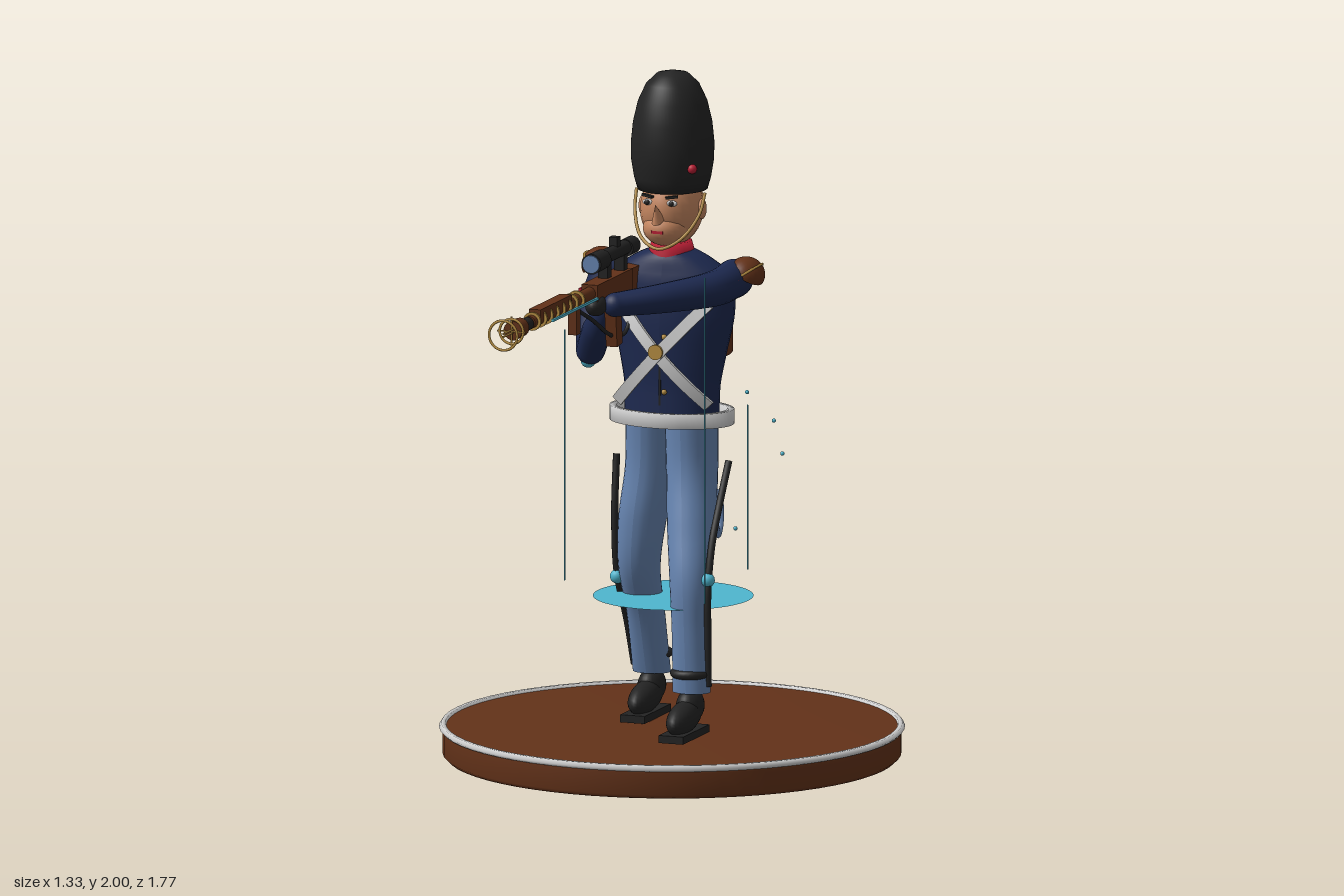
import * as THREE from 'three';
import { RoundedBoxGeometry } from 'three/addons/geometries/RoundedBoxGeometry.js';

const mat = (name, color, side = THREE.FrontSide) => Object.assign(new THREE.MeshStandardMaterial({ color, side }), { name });
const M = {
  navy: mat('navy coat', 0x1d294f), blue: mat('blue trousers', 0x6684b0), black: mat('black', 0x232323),
  brown: mat('brown', 0x633219, THREE.DoubleSide), white: mat('white', 0xd2d2d2), gold: mat('gold', 0xb58d42),
  skin: mat('skin', 0xc48660), red: mat('red', 0xb81f35), cyan: mat('cyan', 0x4fb6cf, THREE.DoubleSide),
};
const V = (p) => new THREE.Vector3(...p);
const curveOf = (pts) => new THREE.CatmullRomCurve3(pts.map(V));

export function createModel() {
  const model = new THREE.Group();
  const add = (name, geo, m, pos = [0, 0, 0], rot = [0, 0, 0], scale = [1, 1, 1], parent = model) => {
    const mesh = new THREE.Mesh(geo, m);
    mesh.name = name;
    mesh.position.set(...pos);
    mesh.rotation.set(...rot);
    mesh.scale.set(...scale);
    parent.add(mesh);
    return mesh;
  };
  const ball = (name, m, pos, r, rot) => add(name, new THREE.SphereGeometry(1, 24, 16), m, pos, rot, Array.isArray(r) ? r : [r, r, r]);
  const box = (name, m, pos, size, rot) => add(name, new THREE.BoxGeometry(...size), m, pos, rot);
  const tube = (name, m, pts, r, closed = false) =>
    add(name, new THREE.TubeGeometry(new THREE.CatmullRomCurve3(pts.map(V), closed), 32, r, 8, closed), m);
  const lathe = (name, m, pts, pos, scale) =>
    add(name, new THREE.LatheGeometry(pts.map((p) => new THREE.Vector2(...p)), 64), m, pos, [0, 0, 0], scale);

  // Body sections from top to bottom: [y, centre x, centre z, radius x, radius z]
  const loft = (name, m, rows) => {
    const centre = curveOf(rows.map(([y, x, z]) => [x, y, z]));
    const size = curveOf(rows.map(([, , , rx, rz]) => [rx, 0, rz]));
    const geo = new THREE.CylinderGeometry(1, 1, 1, 28, 28);
    const p = geo.attributes.position;
    for (let i = 0; i < p.count; i++) {
      const t = THREE.MathUtils.clamp(0.5 - p.getY(i), 0, 1);
      const c = centre.getPoint(t), s = size.getPoint(t);
      p.setXYZ(i, c.x + p.getX(i) * s.x, c.y, c.z + p.getZ(i) * s.z);
    }
    geo.computeVertexNormals();
    return add(name, geo, m);
  };
  // Tapered limb with rounded ends
  const limb = (name, m, pts, radii) => {
    const c = curveOf(pts), n = 24, sides = 16;
    const geo = new THREE.TubeGeometry(c, n, 1, sides);
    const p = geo.attributes.position, v = new THREE.Vector3();
    for (let i = 0; i < p.count; i++) {
      const t = Math.floor(i / (sides + 1)) / n, f = t * (radii.length - 1), k = Math.min(Math.floor(f), radii.length - 2);
      const r = THREE.MathUtils.lerp(radii[k], radii[k + 1], f - k), o = c.getPointAt(t);
      v.fromBufferAttribute(p, i).sub(o).multiplyScalar(r).add(o);
      p.setXYZ(i, v.x, v.y, v.z);
    }
    geo.computeVertexNormals();
    add(name, geo, m);
    ball(name + 'Start', m, pts[0], radii[0]);
    ball(name + 'End', m, pts[pts.length - 1], radii[radii.length - 1]);
  };

  // Round base with a pale rim
  lathe('base', M.brown, [[0, 0], [0.645, 0], [0.657, 0.012], [0.657, 0.075], [0.655, 0.09], [0, 0.092]], [0, 0, -0.21]);
  lathe('baseRim', M.white, [[0.645, 0.085], [0.66, 0.08], [0.667, 0.088], [0.66, 0.098], [0.648, 0.098], [0.645, 0.085]], [0, 0, -0.21]);

  // Trousers
  loft('leftLeg', M.blue, [[1.01, 0.06, -0.21, 0.075, 0.095], [0.85, 0.066, -0.2, 0.072, 0.09], [0.7, 0.085, -0.145, 0.069, 0.08],
    [0.55, 0.105, -0.085, 0.06, 0.065], [0.4, 0.11, -0.075, 0.055, 0.055], [0.22, 0.112, -0.075, 0.056, 0.045]]);
  loft('rightLeg', M.blue, [[1.01, -0.06, -0.21, 0.075, 0.095], [0.85, -0.066, -0.215, 0.072, 0.09], [0.7, -0.085, -0.2, 0.069, 0.078],
    [0.55, -0.1, -0.21, 0.06, 0.065], [0.4, -0.105, -0.275, 0.055, 0.055], [0.22, -0.108, -0.33, 0.056, 0.045]]);
  add('thighLoop', new THREE.TorusGeometry(0.035, 0.01, 8, 20), M.blue, [0.13, 0.71, -0.24], [0, Math.PI / 2, 0], [0.6, 1.6, 1]);

  // Shoes, soles, ankle rings and leg braces
  for (const [side, x, z] of [['left', 0.11, -0.02], ['right', -0.106, -0.275]]) {
    ball(side + 'Shoe', M.black, [x, 0.155, z], [0.04, 0.045, 0.1], [0.15, 0, 0]);
    ball(side + 'Heel', M.black, [x, 0.18, z - 0.05], [0.039, 0.05, 0.055]);
    box(side + 'Sole', M.black, [x, 0.107, z], [0.075, 0.022, 0.21]);
    add(side + 'AnkleRing', new THREE.TorusGeometry(0.047, 0.013, 10, 28), M.black, [x, 0.275, z - 0.055], [Math.PI / 2, 0, 0]);
  }
  tube('leftBrace', M.black, [[0.172, 0.87, -0.215], [0.168, 0.76, -0.155], [0.167, 0.65, -0.095], [0.168, 0.52, -0.06], [0.168, 0.38, -0.06], [0.165, 0.24, -0.07]], 0.011);
  tube('rightBrace', M.black, [[-0.172, 0.87, -0.215], [-0.168, 0.7, -0.19], [-0.165, 0.53, -0.2], [-0.164, 0.38, -0.275], [-0.16, 0.24, -0.325]], 0.011);
  ball('leftKneeLight', M.cyan, [0.165, 0.55, -0.065], 0.021);
  ball('rightKneeLight', M.cyan, [-0.164, 0.515, -0.2], 0.021);

  // Coat
  loft('torso', M.navy, [[1.485, 0, -0.21, 0.055, 0.055], [1.46, 0, -0.212, 0.11, 0.075], [1.4, 0, -0.218, 0.185, 0.098],
    [1.3, 0, -0.22, 0.185, 0.11], [1.18, 0, -0.218, 0.16, 0.108], [1.08, 0, -0.213, 0.142, 0.1], [0.99, 0, -0.21, 0.14, 0.1]]);
  lathe('collar', M.red, [[0.068, 1.455], [0.066, 1.475], [0.058, 1.505], [0, 1.505]], [0, 0, -0.208]);
  box('coatSeam', M.black, [0, 1.12, -0.113], [0.006, 0.16, 0.008]);
  for (let i = 0; i < 4; i++) ball('button', M.gold, [0.015, 1.08 + i * 0.08, -0.108], 0.008);

  // Belt stands off the waist as a hoop
  lathe('belt', M.white, [[0.164, 0.977], [0.185, 0.977], [0.185, 1.02], [0.164, 1.02], [0.164, 0.977]], [0, 0, -0.21], [1, 1, 0.68]);

  // Crossed chest straps, bowed over the chest
  for (const s of [1, -1]) {
    const geo = new THREE.BoxGeometry(0.41, 0.034, 0.012, 16, 1, 1), p = geo.attributes.position;
    for (let i = 0; i < p.count; i++) p.setZ(i, p.getZ(i) - 1.2 * p.getX(i) ** 2);
    geo.computeVertexNormals();
    add('chestStrap', geo, M.white, [0, 1.19, -0.09 + s * 0.003], [0, 0, s * 0.82]);
  }
  add('strapBuckle', new THREE.CylinderGeometry(0.022, 0.022, 0.008, 20), M.gold, [0, 1.2, -0.078], [Math.PI / 2, 0, 0]);

  // Arms holding the rifle
  limb('leftArm', M.navy, [[0.19, 1.405, -0.21], [0.175, 1.395, -0.1], [0.08, 1.385, 0.03], [-0.04, 1.375, 0.14]], [0.056, 0.05, 0.043, 0.035]);
  limb('rightUpperArm', M.navy, [[-0.19, 1.395, -0.21], [-0.222, 1.29, -0.175], [-0.215, 1.185, -0.12]], [0.058, 0.05, 0.042]);
  limb('rightForearm', M.navy, [[-0.215, 1.185, -0.12], [-0.17, 1.26, -0.06], [-0.115, 1.34, -0.01]], [0.042, 0.044, 0.034]);
  ball('leftHand', M.black, [-0.085, 1.375, 0.17], [0.03, 0.03, 0.045]);
  ball('rightHand', M.skin, [-0.105, 1.345, 0.0], 0.03);
  ball('elbowLight', M.cyan, [-0.222, 1.155, -0.12], 0.022);
  box('leftArmBadge', M.red, [0.226, 1.4, -0.155], [0.016, 0.035, 0.045]);
  box('rightArmBadge', M.red, [-0.262, 1.335, -0.19], [0.016, 0.035, 0.045]);

  // Epaulettes
  for (const s of [1, -1]) {
    add('epaulette', new THREE.SphereGeometry(0.055, 24, 10, 0, Math.PI * 2, 0, Math.PI / 2), M.brown, [s * 0.226, 1.42, -0.22], [0, 0, -s * 0.6], [0.95, 0.85, 1.15]);
    add('epauletteEdge', new THREE.TorusGeometry(0.053, 0.004, 6, 28), M.gold, [s * 0.226, 1.42, -0.22], [Math.PI / 2, s * 0.6, 0], [0.95, 1.15, 1]);
    ball('shoulderLight', M.cyan, [s * 0.2, 1.42, -0.262], 0.02);
  }

  // Head
  ball('head', M.skin, [0, 1.6, -0.21], [0.089, 0.11, 0.11]);
  ball('jaw', M.skin, [0, 1.55, -0.165], [0.066, 0.053, 0.076]);
  ball('backOfHead', M.skin, [0, 1.6, -0.235], [0.086, 0.09, 0.092]);
  add('nose', new THREE.ConeGeometry(0.017, 0.055, 12), M.skin, [0, 1.605, -0.088], [0.4, 0, 0], [1, 1, 1.6]);
  box('mouth', M.red, [0, 1.547, -0.093], [0.036, 0.008, 0.008]);
  for (const s of [1, -1]) {
    ball('ear', M.skin, [s * 0.09, 1.6, -0.215], [0.012, 0.03, 0.022]);
    ball('eyeWhite', M.white, [s * 0.037, 1.63, -0.113], [0.016, 0.009, 0.008]);
    ball('pupil', M.black, [s * 0.037, 1.63, -0.106], [0.008, 0.008, 0.005]);
    box('eyebrow', M.black, [s * 0.037, 1.648, -0.112], [0.036, 0.007, 0.012], [0, s * 0.3, s * 0.12]);
  }
  tube('chinStrap', M.gold, [[0.105, 1.65, -0.2], [0.098, 1.59, -0.17], [0.06, 1.525, -0.12], [0, 1.497, -0.1], [-0.06, 1.525, -0.12], [-0.098, 1.59, -0.17], [-0.105, 1.65, -0.2]], 0.005);

  // Tall fur hat
  lathe('furHat', M.black, [[0, 1.655], [0.1, 1.655], [0.11, 1.69], [0.118, 1.74], [0.119, 1.79], [0.113, 1.85], [0.099, 1.91], [0.076, 1.96], [0.045, 1.99], [0, 2]], [0, 0, -0.215], [1, 1, 1.04]);
  ball('hatBadge', M.red, [0.09, 1.73, -0.137], 0.014);

  // Backpack with aerial
  add('backpack', new RoundedBoxGeometry(0.22, 0.24, 0.11, 3, 0.018), M.brown, [0, 1.26, -0.37]);
  add('backpackFlap', new RoundedBoxGeometry(0.226, 0.07, 0.12, 3, 0.015), M.brown, [0, 1.345, -0.371]);
  tube('backpackTrim', M.gold, [-4, -3, -2, -1, 0, 1, 2, 3, 4].map((i) => [i * 0.022, 1.285 + (i % 2 ? 0.005 : -0.005), -0.427]), 0.004);
  box('aerial', M.black, [-0.07, 1.5, -0.4], [0.006, 0.4, 0.006]);
  ball('lowerBackLight', M.cyan, [0.01, 1.07, -0.32], 0.02);
  box('lowerBackRod', M.black, [0.01, 1.1, -0.325], [0.018, 0.12, 0.014]);

  // Rifle, pointing forwards along z
  const gx = -0.095, gy = 1.415;
  const rod = (name, m, z0, z1, r, y = gy, r1 = r) =>
    add(name, new THREE.CylinderGeometry(r1, r, z1 - z0, 18), m, [gx, y, (z0 + z1) / 2], [Math.PI / 2, 0, 0]);
  rod('barrel', M.black, 0.1, 0.77, 0.013);
  rod('muzzleBrake', M.brown, 0.75, 0.81, 0.028);
  rod('muzzleCollar', M.black, 0.69, 0.75, 0.019);
  rod('foreStock', M.brown, 0.19, 0.68, 0.019);
  box('receiver', M.brown, [gx, 1.41, 0.06], [0.05, 0.06, 0.28]);
  box('barrelCover', M.brown, [gx, 1.432, 0.51], [0.036, 0.028, 0.25]);
  for (let i = 0; i < 8; i++) rod('barrelBand', M.gold, 0.3 + i * 0.05, 0.308 + i * 0.05, 0.027);
  for (const s of [1, -1]) box('barrelLightStrip', M.cyan, [gx + s * 0.026, 1.402, 0.38], [0.007, 0.007, 0.36]);
  box('buttStock', M.brown, [gx, 1.4, -0.11], [0.04, 0.075, 0.12]);
  box('pistolGrip', M.brown, [gx, 1.3, 0.01], [0.034, 0.14, 0.045], [0.12, 0, 0]);
  box('magazine', M.brown, [gx, 1.355, 0.32], [0.026, 0.075, 0.03]);
  tube('sling', M.black, [[gx, 1.385, 0.3], [gx, 1.33, 0.17], [gx, 1.275, 0.06], [gx, 1.25, -0.02], [gx, 1.26, -0.1], [gx, 1.37, -0.14]], 0.006);
  for (const s of [-0.045, 0.045]) rod('sightPin', M.gold, 0.81, 0.885, 0.003, gy + s * 0.1);
  add('muzzleRing', new THREE.TorusGeometry(0.043, 0.004, 8, 32), M.gold, [gx, gy, 0.886]);
  add('innerRing', new THREE.TorusGeometry(0.036, 0.004, 8, 32), M.gold, [gx, gy, 0.82]);
  for (const size of [[0.086, 0.004, 0.004], [0.004, 0.086, 0.004]]) box('ringCross', M.gold, [gx, gy, 0.82], size);

  // Scope
  rod('scopeTube', M.black, -0.13, 0.16, 0.021, 1.5);
  rod('scopeFront', M.black, 0.1, 0.186, 0.029, 1.497, 0.03);
  rod('scopeEyepiece', M.black, -0.14, -0.08, 0.026, 1.497);
  rod('scopeLens', M.blue, 0.184, 0.19, 0.026, 1.497);
  box('scopeTurret', M.black, [gx, 1.525, 0.0], [0.025, 0.04, 0.025]);
  for (const z of [-0.05, 0.08]) box('scopeMount', M.black, [gx, 1.455, z], [0.03, 0.06, 0.03]);

  // Glowing disc, thin light trails and sparks
  add('energyDisc', new THREE.CircleGeometry(0.23, 64), M.cyan, [0, 0.467, -0.22], [-Math.PI / 2, 0, 0]);
  for (const [x, z, top] of [[-0.31, -0.16, 1.23], [0.193, 0.03, 1.45], [0.12, -0.5, 0.98]])
    box('lightTrail', M.cyan, [x, (0.5 + top) / 2, z], [0.003, top - 0.5, 0.003]);
  for (const p of [[0.05, 0.6, -0.585], [0.235, 0.85, -0.478], [0.295, 0.99, -0.255], [0.18, 1.05, -0.34], [-0.18, 0.75, -0.375]])
    ball('spark', M.cyan, p, 0.006);
  return model;
}
